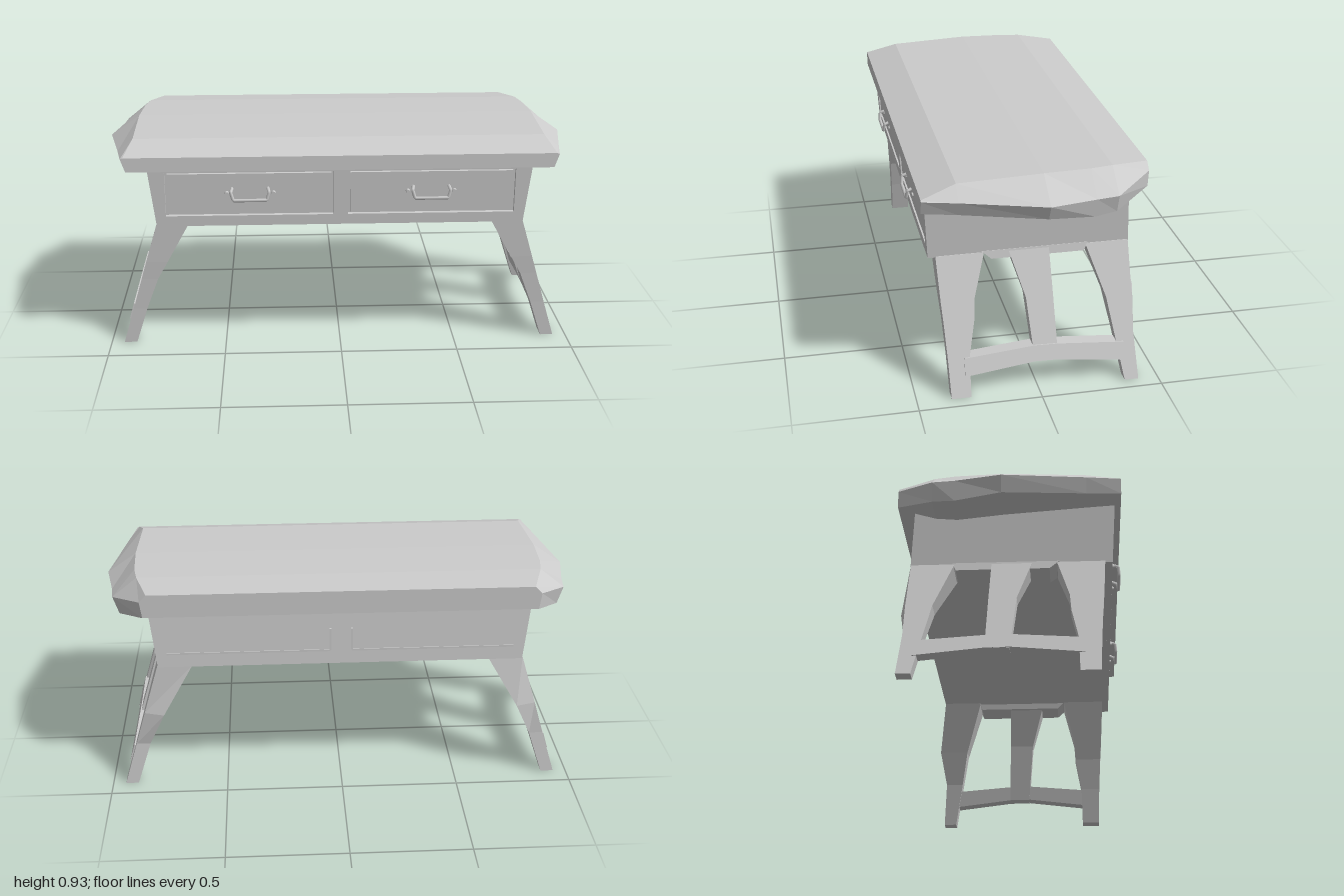
import * as THREE from 'three';

const grey = new THREE.MeshStandardMaterial({ color: 0xcccccc });
grey.name = 'plain grey';

// Flat-shaded skin over rings of equal length, capped at both ends.
function loft(rings) {
  const out = [];
  const tri = (a, b, c) => out.push(...a, ...b, ...c);
  const n = rings[0].length, first = rings[0], last = rings[rings.length - 1];
  for (let r = 0; r < rings.length - 1; r++) {
    const a = rings[r], b = rings[r + 1];
    for (let i = 0; i < n; i++) {
      const j = (i + 1) % n;
      tri(a[i], a[j], b[j]);
      tri(a[i], b[j], b[i]);
    }
  }
  for (let i = 1; i < n - 1; i++) {
    tri(last[0], last[i], last[i + 1]);
    tri(first[0], first[i + 1], first[i]);
  }
  const g = new THREE.BufferGeometry();
  g.setAttribute('position', new THREE.Float32BufferAttribute(out, 3));
  g.computeVertexNormals();
  return g;
}

// Mirrors rings to the other side while keeping faces outward.
const sided = (rings, s) => s > 0 ? rings
  : rings.map(r => r.map(([x, y, z]) => [-x, y, z]).reverse());

// Rows of [y, outer x, inner x, front z, back z], from the floor up.
const post = rows => rows.map(([y, xo, xi, zf, zb]) =>
  [[xo, y, zf], [xo, y, zb], [xi, y, zb], [xi, y, zf]]);

function add(parent, name, geometry, x = 0, y = 0, z = 0) {
  const m = new THREE.Mesh(geometry, grey);
  m.name = name;
  m.position.set(x, y, z);
  parent.add(m);
  return m;
}

const box = (w, h, d) => new THREE.BoxGeometry(w, h, d);

export function createModel() {
  const desk = new THREE.Group();
  desk.name = 'desk';

  // Tabletop: [z, top y, crease x, edge x, edge y, bottom x, bottom y]
  const slab = [
    [-0.455, 0.91, 0.80, 0.83, 0.88, 0.82, 0.81],
    [-0.30, 0.925, 0.85, 0.955, 0.84, 0.93, 0.765],
    [-0.21, 0.925, 0.865, 0.965, 0.838, 0.945, 0.757],
    [-0.02, 0.925, 0.875, 1.0, 0.838, 0.97, 0.775],
    [0.32, 0.91, 0.87, 0.935, 0.857, 0.91, 0.797],
    [0.46, 0.866, 0.90, 0.91, 0.862, 0.89, 0.805],
  ];
  add(desk, 'tabletop', loft(slab.map(([z, yt, xi, xo, yo, xb, yb]) => [
    [-xb, yb, z], [xb, yb, z], [xo, yo, z], [xi, yt, z], [-xi, yt, z], [-xo, yo, z]])));

  // Case behind the drawer fronts
  add(desk, 'case', loft(post([
    [0.555, 0.775, -0.775, 0.402, -0.40],
    [0.81, 0.805, -0.805, 0.417, -0.385],
  ])));

  // Front frame with two drawer openings, leaning slightly forward
  const front = new THREE.Group();
  front.name = 'drawerFront';
  front.position.set(0, 0.555, 0.42);
  front.rotation.x = 0.06;
  desk.add(front);
  const frame = new THREE.Shape([[-0.775, 0], [0.775, 0], [0.805, 0.25], [-0.805, 0.25]]
    .map(p => new THREE.Vector2(...p)));
  for (const s of [-1, 1]) {
    frame.holes.push(new THREE.Path([[0.03, 0.045], [0.03, 0.238], [0.735, 0.238], [0.735, 0.045]]
      .map(([x, y]) => new THREE.Vector2(s * x, y))));
  }
  add(front, 'frontFrame', new THREE.ExtrudeGeometry(frame, { depth: 0.022, bevelEnabled: false }), 0, 0, -0.022);

  // Drawers, pulls and their round studs
  const pull = new THREE.CurvePath();
  const pts = [[-0.075, 0.02, 0], [-0.08, 0.01, 0.03], [-0.07, -0.022, 0.035],
    [0.07, -0.022, 0.035], [0.08, 0.01, 0.03], [0.075, 0.02, 0]].map(p => new THREE.Vector3(...p));
  for (let i = 0; i < pts.length - 1; i++) pull.add(new THREE.LineCurve3(pts[i], pts[i + 1]));
  for (const s of [-1, 1]) {
    add(front, 'drawer', box(0.685, 0.177, 0.014), s * 0.3825, 0.1415, -0.012);
    add(front, 'drawerPull', new THREE.TubeGeometry(pull, 40, 0.007, 6), s * 0.38, 0.145, -0.006);
    for (const t of [-1, 1]) {
      const stud = add(front, 'pullStud', new THREE.CylinderGeometry(0.008, 0.01, 0.016, 8),
        s * 0.38 + t * 0.098, 0.145, 0);
      stud.rotation.x = Math.PI / 2;
    }
  }

  // Thin trim along the back panels
  for (const s of [-1, 1]) {
    add(desk, 'backTrim', box(0.69, 0.008, 0.008), s * 0.39, 0.615, -0.396);
    add(desk, 'backTrimUpright', box(0.008, 0.10, 0.012), s * 0.045, 0.665, -0.393);
  }

  // Splayed end supports
  const slope = y => 0.78 + 0.297 * (0.555 - y);
  const frontLeg = [
    [0, 0.945, 0.89, 0.36, 0.28],
    [0.16, 0.897, 0.838, 0.366, 0.277],
    [0.30, 0.856, 0.785, 0.374, 0.25],
    [0.38, 0.832, 0.74, 0.38, 0.245],
    [0.56, 0.778, 0.64, 0.39, 0.195],
  ];
  const middleLeg = [
    [0.115, 0.912, 0.86, 0.012, -0.085],
    [0.37, 0.835, 0.77, 0.035, -0.077],
    [0.56, 0.778, 0.66, 0.095, -0.07],
  ];
  const backLeg = [
    [0, 0.945, 0.89, -0.36, -0.418],
    [0.19, 0.888, 0.828, -0.325, -0.405],
    [0.34, 0.844, 0.76, -0.297, -0.405],
    [0.56, 0.778, 0.63, -0.22, -0.398],
  ];
  const backPost = post(backLeg);
  backPost[2][2][2] = -0.432; // inner knee
  const bar = [[-0.36, 0.085, 0.158], [-0.085, 0.115, 0.178], [0.012, 0.117, 0.18], [0.30, 0.085, 0.157]];
  const stretcher = bar.map(([z, yb, yt]) => [
    [slope(yb) - 0.05, yb, z], [slope(yb) + 0.006, yb, z],
    [slope(yt) + 0.006, yt, z], [slope(yt) - 0.05, yt, z]]);
  const rail = post([
    [0.53, 0.782, 0.66, 0.165, -0.215],
    [0.565, 0.778, 0.65, 0.205, -0.23],
  ]);
  for (const s of [1, -1]) {
    const end = new THREE.Group();
    end.name = s > 0 ? 'leftSupport' : 'rightSupport';
    desk.add(end);
    add(end, 'frontLeg', loft(sided(post(frontLeg), s)));
    add(end, 'middleLeg', loft(sided(post(middleLeg), s)));
    add(end, 'backLeg', loft(sided(backPost, s)));
    add(end, 'stretcher', loft(sided(stretcher, s)));
    add(end, 'sideRail', loft(sided(rail, s)));
  }
  return desk;
}
